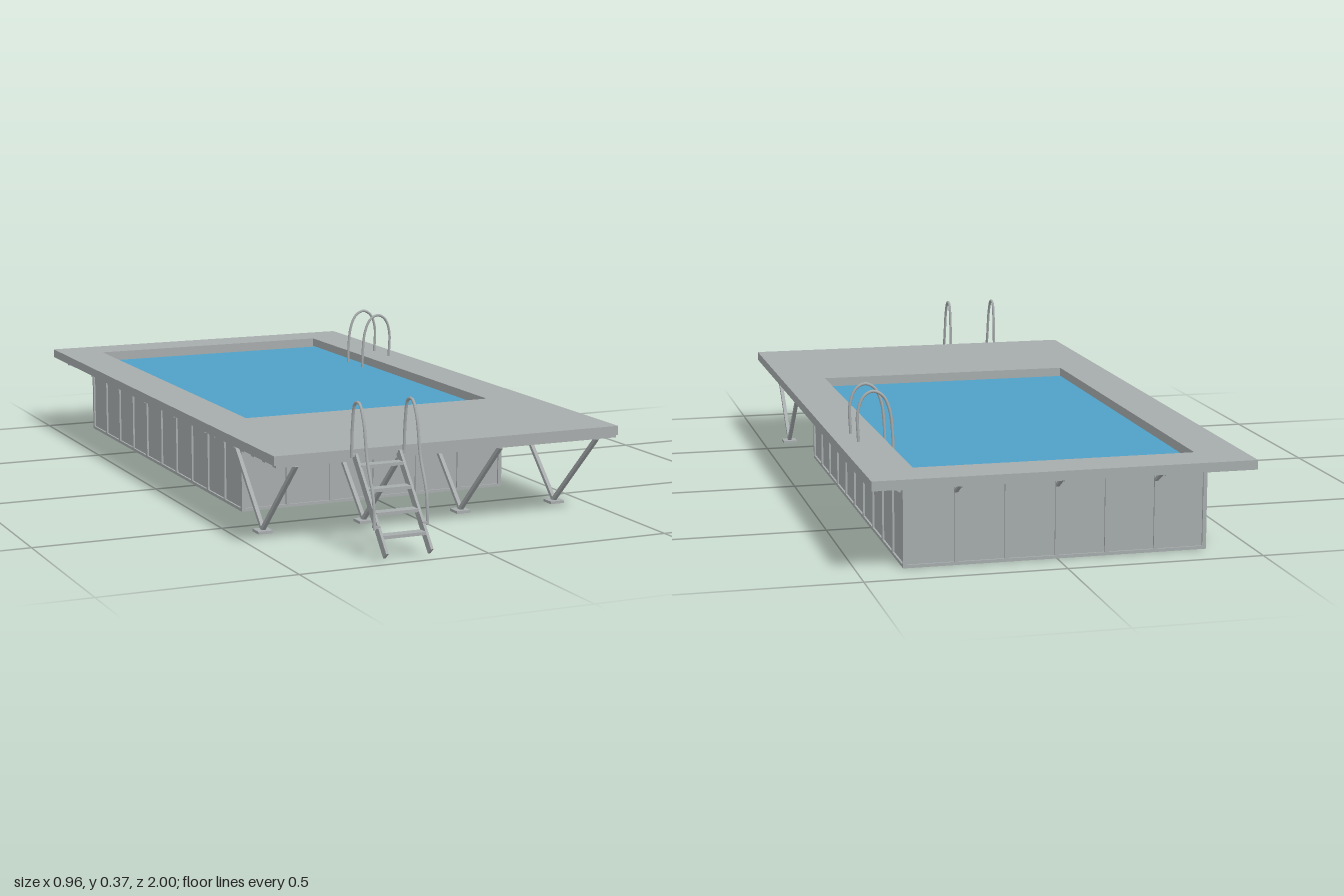
import * as THREE from 'three';

const V = (x, y, z) => new THREE.Vector3(x, y, z);

export function createModel() {
  const model = new THREE.Group();
  model.name = 'poolWithDeck';

  const mat = (name, color) => {
    const m = new THREE.MeshStandardMaterial({ color });
    m.name = name;
    return m;
  };
  const grey = mat('grey', 0xa6abac);
  const waterBlue = mat('waterBlue', 0x4fa1c7);
  const floorBlue = mat('floorBlue', 0x2b6ca6);

  const add = (name, geometry, material = grey) => {
    const mesh = new THREE.Mesh(geometry, material);
    mesh.name = name;
    model.add(mesh);
    return mesh;
  };
  // Box given by its limits on each axis
  const box = (name, x0, x1, y0, y1, z0, z1, material) => {
    const mesh = add(name, new THREE.BoxGeometry(x1 - x0, y1 - y0, z1 - z0), material);
    mesh.position.set((x0 + x1) / 2, (y0 + y1) / 2, (z0 + z1) / 2);
    return mesh;
  };
  // Square bar running between two points
  const bar = (name, a, b, width, depth) => {
    const mesh = add(name, new THREE.BoxGeometry(width, depth, a.distanceTo(b)));
    mesh.position.copy(a).lerp(b, 0.5);
    mesh.lookAt(b);
    return mesh;
  };
  // Bent round rail through a few points
  const rail = (name, points) =>
    add(name, new THREE.TubeGeometry(new THREE.CatmullRomCurve3(points), 40, 0.004, 8));

  // Deck slab with the pool opening
  const outline = new THREE.Shape([
    new THREE.Vector2(-0.48, -0.8), new THREE.Vector2(0.48, -0.8),
    new THREE.Vector2(0.48, 1), new THREE.Vector2(-0.48, 1),
  ]);
  outline.holes.push(new THREE.Path([
    new THREE.Vector2(-0.358, -0.315), new THREE.Vector2(-0.358, 0.88),
    new THREE.Vector2(0.355, 0.88), new THREE.Vector2(0.355, -0.315),
  ]));
  const deck = new THREE.ExtrudeGeometry(outline, { depth: 0.024, bevelEnabled: false });
  deck.rotateX(-Math.PI / 2);
  add('deck', deck).position.y = 0.218;

  // Basin: four walls, floor and water
  const X = 0.38, ZF = 0.345, ZB = -0.9, TOP = 0.218;
  box('frontWall', -X, X, 0.002, TOP, ZF - 0.008, ZF);
  box('backWall', -X, X, 0.002, TOP, ZB, ZB + 0.008);
  for (const s of [-1, 1]) {
    const x = s * (X - 0.004);
    box('sideWall', x - 0.004, x + 0.004, 0.002, TOP, ZB + 0.008, ZF - 0.008);
  }
  box('basinFloor', -X + 0.008, X - 0.008, 0.003, 0.01, ZB + 0.008, ZF - 0.008, floorBlue);
  box('water', -X + 0.008, X - 0.008, 0.2, 0.213, ZB + 0.008, ZF - 0.008, waterBlue);

  // Wall frames: bottom and top edges, then upright ribs
  const P = 0.005;
  for (const [y0, y1] of [[0, 0.008], [0.208, 0.2175]]) {
    box('frontFrameEdge', -X - P, X + P, y0, y1, ZF, ZF + P);
    box('backFrameEdge', -X - P, X + P, y0, y1, ZB - P, ZB);
    box('leftFrameEdge', X, X + P, y0, y1, ZB, ZF);
    box('rightFrameEdge', -X - P, -X, y0, y1, ZB, ZF);
  }
  for (let i = 0; i <= 6; i++) {
    const x = -X + (2 * X * i) / 6;
    box('frontRib', x - 0.005, x + 0.005, 0.008, 0.208, ZF, ZF + P);
    box('backRib', x - 0.005, x + 0.005, 0.008, 0.208, ZB - P, ZB);
  }
  for (let i = 0; i <= 10; i++) {
    const z = ZB + ((ZF - ZB) * i) / 10;
    box('leftRib', X, X + P, 0.008, 0.208, z - 0.005, z + 0.005);
    box('rightRib', -X - P, -X, 0.008, 0.208, z - 0.005, z + 0.005);
  }

  // Brackets carrying the overhanging deck
  for (let i = 0; i < 6; i++) {
    const z = 0.31 - 0.235 * i;
    for (const s of [-1, 1]) {
      bar('sideBracket', V(s * 0.382, 0.182, z), V(s * 0.435, 0.214, z), 0.009, 0.007);
      box('sideBracketArm', Math.min(s * X, s * 0.475), Math.max(s * X, s * 0.475),
        0.212, 0.218, z - 0.006, z + 0.006);
    }
  }
  for (const x of [-0.253, 0, 0.253]) {
    bar('backBracket', V(x, 0.182, ZB), V(x, 0.214, ZB - 0.053), 0.009, 0.007);
    box('backBracketArm', x - 0.006, x + 0.006, 0.212, 0.218, ZB - 0.09, ZB);
  }

  // Joists below the front of the deck
  for (let i = 0; i < 7; i++) {
    const z = 0.375 + i * 0.069;
    box('joist', -0.475, 0.475, 0.212, 0.218, z - 0.01, z + 0.01);
  }

  // V-shaped legs on foot plates
  for (const x of [-0.42, -0.14, 0.14, 0.42]) {
    bar('frontLeg', V(x, 0.008, 0.58), V(x, 0.214, 0.795), 0.01, 0.01);
    bar('rearLeg', V(x, 0.008, 0.58), V(x, 0.214, 0.372), 0.01, 0.01);
    box('footPlate', x - 0.02, x + 0.02, 0, 0.007, 0.56, 0.6);
  }

  // Entry steps
  for (const x of [-0.271, -0.152]) {
    bar('stepStringer', V(x, 0.228, 0.812), V(x, 0.018, 0.99), 0.007, 0.022);
  }
  for (const y of [0.206, 0.155, 0.106, 0.058]) {
    const z = 0.812 + ((0.228 - y) * 0.178) / 0.21;
    box('stepTread', -0.268, -0.155, y - 0.004, y + 0.004, z - 0.014, z + 0.014);
  }

  // Handrails beside the steps, with short fixing pins
  for (const [x, inner] of [[-0.283, -0.268], [-0.141, -0.155]]) {
    rail('stepHandrail', [
      V(x, 0.074, 0.95), V(x, 0.15, 0.943), V(x, 0.235, 0.908), V(x, 0.33, 0.886),
      V(x, 0.367, 0.862), V(x, 0.362, 0.836), V(x, 0.31, 0.823), V(x, 0.226, 0.817),
    ]);
    const x0 = Math.min(x, inner), x1 = Math.max(x, inner);
    box('lowerRailPin', x0, x1, 0.077, 0.083, 0.937, 0.953);
    box('upperRailPin', x0, x1, 0.228, 0.234, 0.812, 0.82);
  }

  // Grab rails arching over the pool edge
  for (const z of [-0.46, -0.565]) {
    rail('grabRail', [
      V(0.337, 0.205, z), V(0.338, 0.26, z), V(0.345, 0.32, z), V(0.362, 0.358, z),
      V(0.388, 0.371, z), V(0.412, 0.358, z), V(0.427, 0.32, z), V(0.426, 0.24, z),
    ]);
  }
  return model;
}
